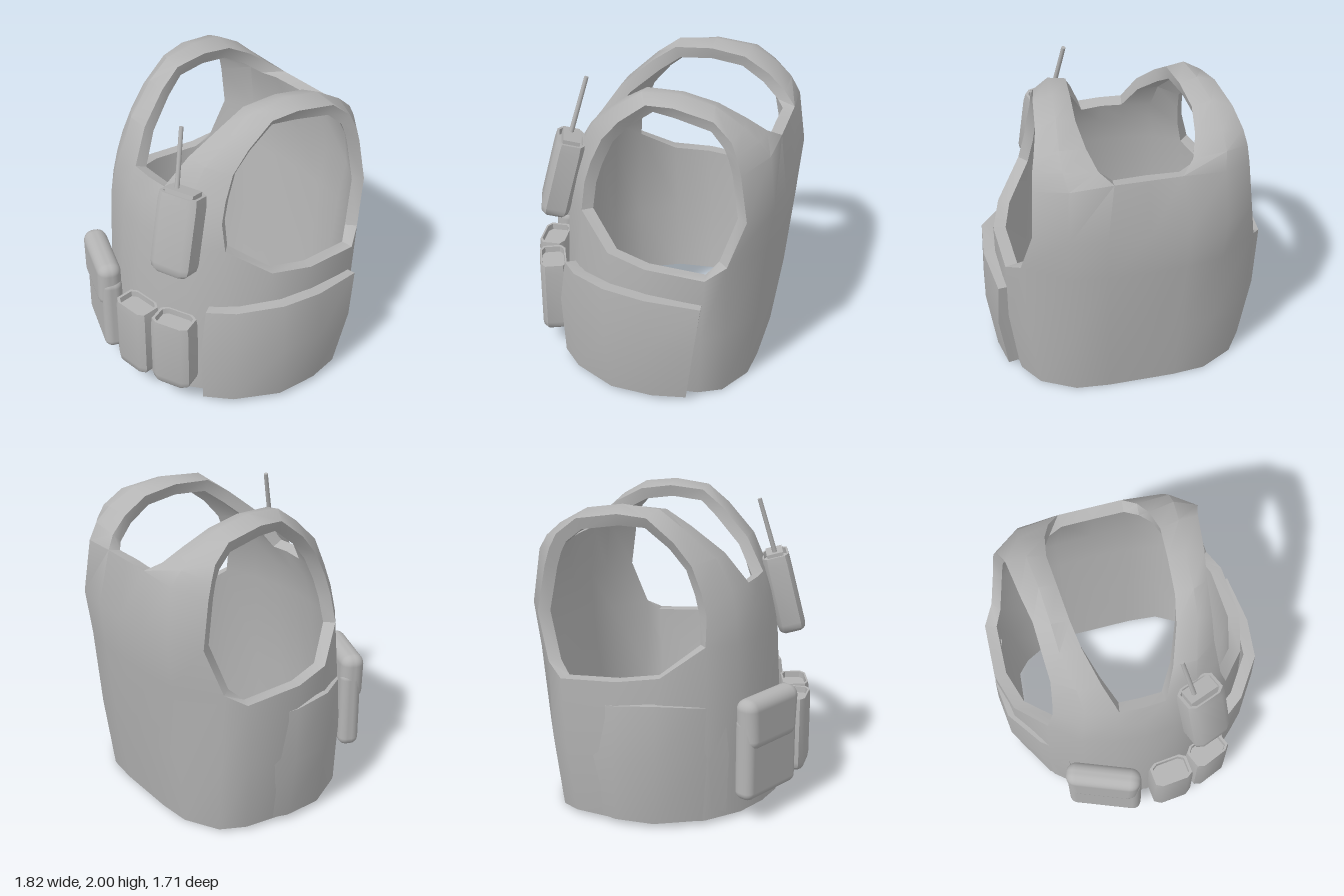
import * as THREE from 'three';
import { mergeVertices, toCreasedNormals } from 'three/addons/utils/BufferGeometryUtils.js';
import { RoundedBoxGeometry } from 'three/addons/geometries/RoundedBoxGeometry.js';

const fabric = new THREE.MeshStandardMaterial({ color: 0xb4b4b4 });
fabric.name = 'grey fabric';

// Mirror a grid of points across x = 0, keeping faces outward
const mirror = (grid) => grid.map((row) => [...row].reverse().map((p) => p && [-p[0], p[1], p[2]]));

// Thick sheet from grids of points: outer skin, inner skin and edge walls
function shell(grids, thickness) {
  const tris = [];
  for (const g of grids) {
    for (let r = 0; r + 1 < g.length; r++) {
      for (let c = 0; c + 1 < g[r].length; c++) {
        const [a, b, d, e] = [g[r][c], g[r][c + 1], g[r + 1][c + 1], g[r + 1][c]];
        if (a && b && d && e) tris.push(...a, ...b, ...d, ...a, ...d, ...e);
      }
    }
  }
  let geo = new THREE.BufferGeometry();
  geo.setAttribute('position', new THREE.Float32BufferAttribute(tris, 3));
  geo = mergeVertices(geo, 1e-4);
  geo.computeVertexNormals();
  const { position: p, normal: n } = geo.attributes;
  const idx = Array.from(geo.index.array);
  const count = p.count;
  const pts = Array.from(p.array);
  for (let i = 0; i < count; i++) {
    // the hem stays level
    const hem = p.getY(i) < 0.04;
    pts.push(
      p.getX(i) - n.getX(i) * thickness,
      hem ? p.getY(i) : p.getY(i) - n.getY(i) * thickness,
      p.getZ(i) - n.getZ(i) * thickness
    );
  }
  const edges = new Set();
  const all = [...idx];
  for (let i = 0; i < idx.length; i += 3) {
    const t = idx.slice(i, i + 3);
    all.push(t[2] + count, t[1] + count, t[0] + count);
    t.forEach((a, k) => edges.add(a + '_' + t[(k + 1) % 3]));
  }
  for (const key of edges) {
    const [a, b] = key.split('_').map(Number);
    if (!edges.has(b + '_' + a)) all.push(b, a, a + count, b, a + count, b + count);
  }
  const out = new THREE.BufferGeometry();
  out.setAttribute('position', new THREE.Float32BufferAttribute(pts, 3));
  out.setIndex(all);
  return toCreasedNormals(out, 0.7);
}

// Soft eight-sided holder with a recessed open top, centred on its height
function holder(w, h, d) {
  const y = h / 2;
  const profile = [[0, -y], [0.8, -y], [0.94, -y + 0.02], [1, -y + 0.06], [1, y - 0.06], [0.95, y], [0.82, y], [0.8, y - 0.04], [0, y - 0.04]];
  const geo = new THREE.LatheGeometry(profile.map((q) => new THREE.Vector2(...q)), 8, Math.PI / 8);
  const p = geo.attributes.position;
  for (let i = 0; i < p.count; i++) {
    const lim = Math.hypot(p.getX(i), p.getZ(i)) * 0.924;
    const square = (v) => THREE.MathUtils.clamp(v * 1.65, -lim, lim) / 0.924 / 2;
    p.setX(i, square(p.getX(i)) * w);
    p.setZ(i, square(p.getZ(i)) * d);
  }
  return toCreasedNormals(geo, 0.95);
}

function mesh(name, geo, parent, pos = [0, 0, 0]) {
  const m = new THREE.Mesh(geo, fabric);
  m.name = name;
  m.position.set(...pos);
  parent.add(m);
  return m;
}

function part(name, parent, pos, yaw, lean = 0) {
  const g = new THREE.Group();
  g.name = name;
  g.position.set(...pos);
  g.rotation.set(lean, yaw, 0, 'YXZ');
  parent.add(g);
  return g;
}

export function createModel() {
  const vest = new THREE.Group();
  vest.name = 'vest';

  // Waist: half rings from front centre round the side to back centre
  const at = (y, plan) => plan.map(([x, z]) => [x, y, z]);
  const armLine = [
    [0, 1.15, 0.615], [0.2, 1.15, 0.595], [0.41, 1.16, 0.54], [0.595, 1.18, 0.39],
    [0.78, 1.01, 0.16], [0.855, 0.98, -0.1], [0.84, 0.95, -0.48], [0.76, 1.02, -0.6],
    [0.49, 1.02, -0.79], [0.25, 1.02, -0.83], [0, 1.02, -0.84],
  ];
  const hem = at(0.025, [[0, 0.68], [0.2, 0.65], [0.41, 0.57], [0.62, 0.4], [0.76, 0.12], [0.79, -0.15],
    [0.765, -0.43], [0.66, -0.57], [0.44, -0.69], [0.22, -0.71], [0, -0.71]]);
  for (const p of hem.slice(7)) p[1] = 0;
  const waist = [
    hem,
    at(0.5, [[0, 0.67], [0.2, 0.64], [0.41, 0.565], [0.63, 0.42], [0.81, 0.15], [0.855, -0.13],
      [0.83, -0.46], [0.73, -0.6], [0.47, -0.75], [0.24, -0.78], [0, -0.78]]),
    armLine,
  ];

  // Chest, shoulder strap and back: centre, neck edge, middle, armhole edge
  const upper = [
    armLine.slice(0, 4),
    [[0, 1.34, 0.575], [0.17, 1.34, 0.56], [0.385, 1.34, 0.515], [0.55, 1.36, 0.38]],
    [[0, 1.49, 0.525], [0.15, 1.49, 0.515], [0.36, 1.49, 0.475], [0.535, 1.5, 0.34]],
    [null, [0.225, 1.69, 0.38], [0.38, 1.69, 0.375], [0.52, 1.66, 0.27]],
    [null, [0.295, 1.86, 0.18], [0.43, 1.87, 0.18], [0.53, 1.8, 0.155]],
    [null, [0.325, 1.96, 0.03], [0.44, 1.98, 0.03], [0.54, 1.94, -0.02]],
    [null, [0.345, 1.97, -0.21], [0.455, 2, -0.21], [0.575, 1.96, -0.2]],
    [null, [0.36, 1.93, -0.43], [0.48, 1.965, -0.44], [0.61, 1.92, -0.46]],
    [null, [0.335, 1.84, -0.6], [0.5, 1.86, -0.62], [0.645, 1.82, -0.58]],
    [null, [0.29, 1.75, -0.72], [0.5, 1.77, -0.72], [0.665, 1.73, -0.62]],
    [[0, 1.69, -0.8], [0.21, 1.69, -0.8], [0.48, 1.67, -0.785], [0.675, 1.62, -0.65]],
    [[0, 1.32, -0.86], [0.26, 1.32, -0.855], [0.5, 1.32, -0.83], [0.695, 1.32, -0.7]],
    [10, 9, 8, 7].map((i) => armLine[i]),
  ];
  mesh('vestBody', shell([waist, upper, mirror(waist), mirror(upper)], 0.08), vest, [-0.033, 0, 0]);

  // Side panels over the waist: a thick one on the left, a nearly flush one on the right
  const panel = [
    at(0.03, [[0.53, 0.55], [0.68, 0.41], [0.83, 0.13], [0.85, -0.15], [0.81, -0.37]]),
    at(0.45, [[0.54, 0.57], [0.71, 0.42], [0.88, 0.16], [0.91, -0.14], [0.87, -0.43]]),
    [[0.54, 0.75, 0.53], [0.7, 0.78, 0.41], [0.87, 0.82, 0.16], [0.9, 0.8, -0.12], [0.86, 0.77, -0.47]],
  ];
  mesh('leftSidePanel', shell([panel], 0.08), vest);
  const flush = panel.map((row) => row.map(([x, y, z], i) => [x * (i === 4 ? 0.97 : 0.995), y * 1.03, z * 0.91]));
  mesh('rightSidePanel', shell([mirror(flush)], 0.05), vest);

  // Large pouch with a puffed flap that narrows downwards
  const pouch = part('largePouch', vest, [-0.34, 0, 0.7], -0.37);
  mesh('pouchBody', new RoundedBoxGeometry(0.5, 0.56, 0.14, 3, 0.055), pouch, [0, 0.44, 0]);
  const flap = new RoundedBoxGeometry(0.49, 0.34, 0.16, 3, 0.07);
  const fp = flap.attributes.position;
  for (let i = 0; i < fp.count; i++) fp.setX(i, fp.getX(i) * (1 + 0.3 * fp.getY(i)));
  mesh('pouchFlap', flap, pouch, [-0.005, 0.67, 0.01]);

  // Two open magazine pouches
  const holders = [['centreMagazinePouch', [0.11, 0.425, 0.755], 0.1], ['leftMagazinePouch', [0.39, 0.425, 0.67], 0.4]];
  for (const [name, pos, yaw] of holders) {
    mesh(name, holder(0.275, 0.51, 0.18), part(name + 'Mount', vest, pos, yaw));
  }

  // Radio in its holder, leaning back against the chest
  const radio = part('radio', vest, [0.35, 1.305, 0.59], 0.35, -0.25);
  mesh('radioHolder', holder(0.275, 0.53, 0.185), radio);
  mesh('radioTop', new THREE.BoxGeometry(0.2, 0.1, 0.11), radio, [0, 0.235, 0]);
  const antenna = mesh('antenna', new THREE.CylinderGeometry(0.014, 0.016, 0.39, 8), radio, [-0.06, 0.47, -0.005]);
  antenna.rotation.set(-0.04, 0, 0.08);

  return vest;
}
